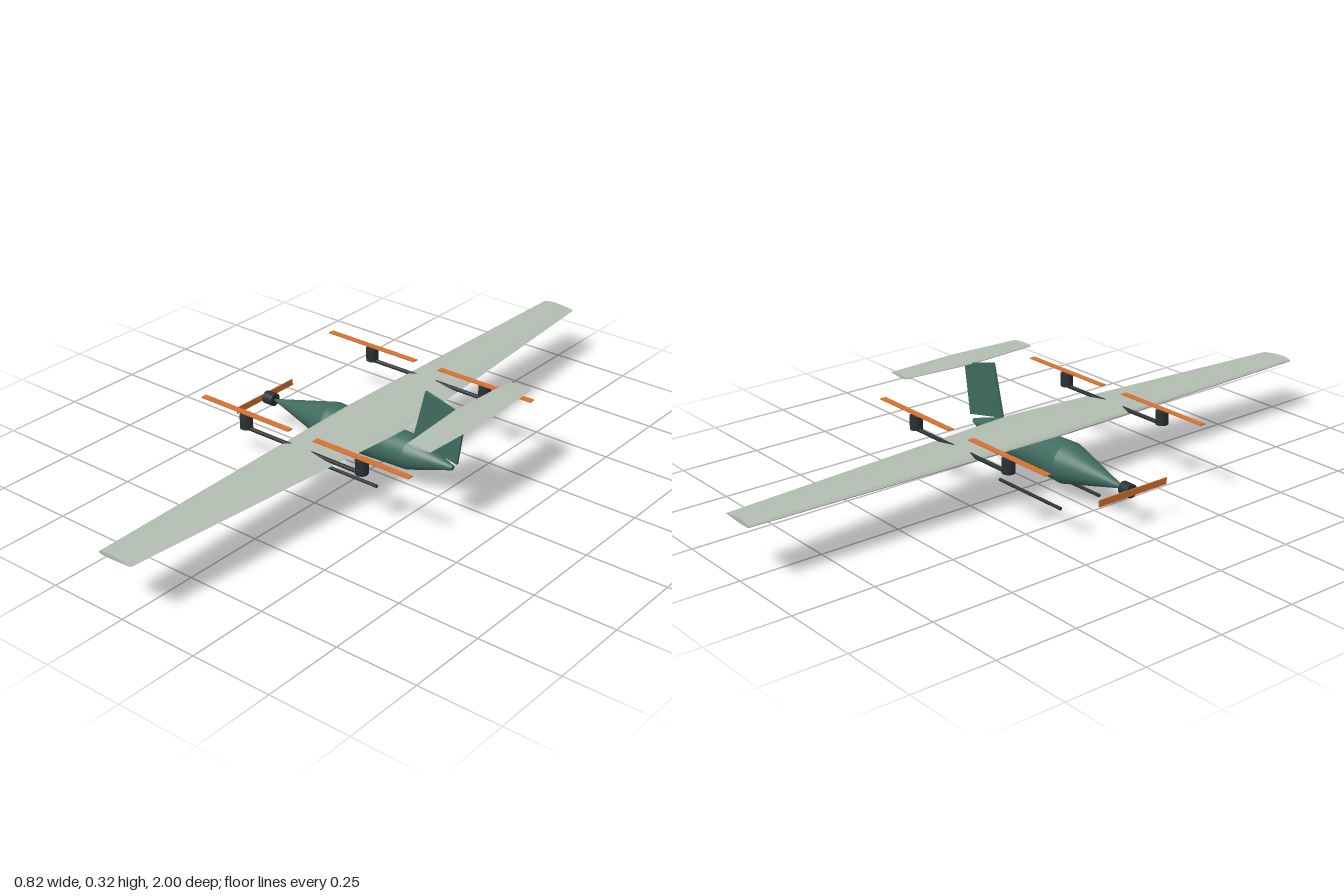
import * as THREE from 'three';
import { toCreasedNormals } from 'three/addons/utils/BufferGeometryUtils.js';

const paint = (color) => new THREE.MeshStandardMaterial({ color });

// Closed airfoil loop in unit chord: trailing edge, over the top, back underneath
function airfoil(thickness, camber, n = 12) {
  const upper = [], lower = [];
  for (let i = 0; i <= n; i++) {
    const x = (1 + Math.cos((Math.PI * i) / n)) / 2;
    const t = 5 * thickness * (0.2969 * Math.sqrt(x) - 0.126 * x - 0.3516 * x ** 2 + 0.2843 * x ** 3 - 0.1036 * x ** 4);
    const p = 0.4;
    const c = x < p ? (camber / p ** 2) * (2 * p * x - x * x)
      : (camber / (1 - p) ** 2) * (1 - 2 * p + 2 * p * x - x * x);
    upper.push([x, c + t]);
    if (i > 0 && i < n) lower.unshift([x, c - t]);
  }
  return [...upper, ...lower];
}

// Loft of an airfoil through stations [z, leading x, trailing x], z ascending
function loftWing(section, stations) {
  const pos = [], index = [], n = section.length;
  for (const [z, x0, x1] of stations)
    for (const [u, v] of section) pos.push(x0 + u * (x1 - x0), v * (x1 - x0), z);
  for (let s = 0; s < stations.length - 1; s++)
    for (let j = 0; j < n; j++) {
      const a = s * n + j, b = s * n + ((j + 1) % n);
      index.push(a, b, a + n, b, b + n, a + n);
    }
  const last = (stations.length - 1) * n;
  for (let j = 1; j < n - 1; j++) {
    index.push(0, j + 1, j);
    index.push(last, last + j, last + j + 1);
  }
  const g = new THREE.BufferGeometry();
  g.setAttribute('position', new THREE.Float32BufferAttribute(pos, 3));
  g.setIndex(index);
  return toCreasedNormals(g, 0.7);
}

// Cylinder lying along x
const rodX = (r, length, sides = 16) =>
  new THREE.CylinderGeometry(r, r, length, sides).rotateZ(Math.PI / 2);

export function createModel() {
  const model = new THREE.Group();
  const green = paint(0x3f6b5f), pale = paint(0xb3beb2), dark = paint(0x2a3033), orange = paint(0xd6722f);

  const add = (name, geometry, material, x = 0, y = 0, z = 0) => {
    const mesh = new THREE.Mesh(geometry, material);
    mesh.name = name;
    mesh.position.set(x, y, z);
    model.add(mesh);
    return mesh;
  };

  // Fuselage: nose cone, tapered middle, tail cone, nose towards -x
  const profile = [[0, -0.37], [0.003, -0.37], [0.0625, -0.14], [0.052, 0.155], [0.007, 0.3], [0, 0.3]]
    .map(([r, x]) => new THREE.Vector2(r, x));
  const hull = new THREE.LatheGeometry(profile, 32).rotateZ(-Math.PI / 2);
  add('fuselage', toCreasedNormals(hull, 0.21), green, 0, 0.11, 0);

  // Nose motor and its propeller
  add('noseMotor', rodX(0.02, 0.035, 20), dark, -0.387, 0.11, 0);
  add('nosePropeller', new THREE.BoxGeometry(0.003, 0.02, 0.25), orange, -0.41, 0.11, 0);

  // Main wing and tailplane
  add('wing', loftWing(airfoil(0.12, 0.02), [[-1, -0.067, 0.048], [0, -0.09, 0.13], [1, -0.067, 0.048]]),
    pale, 0, 0.176, 0);
  add('tailplane', loftWing(airfoil(0.11, 0), [[-0.235, 0.316, 0.394], [0, 0.3, 0.407], [0.235, 0.316, 0.394]]),
    pale, 0, 0.292, 0);

  // Swept tail fin
  const fin = new THREE.Shape([[0.16, 0.16], [0.315, 0.127], [0.339, 0.284], [0.201, 0.321]]
    .map(([x, y]) => new THREE.Vector2(x, y)));
  add('tailFin', new THREE.ExtrudeGeometry(fin, { depth: 0.008, bevelEnabled: false }), green, 0, 0, -0.004);

  for (const side of [1, -1]) {
    const label = side > 0 ? 'left' : 'right';
    const z = side * 0.285;
    // Lift boom with a motor and rotor at each end
    add(label + 'Boom', rodX(0.006, 0.42), dark, -0.01, 0.183, z);
    for (const [end, x] of [['Front', -0.221], ['Rear', 0.202]]) {
      add(label + end + 'LiftMotor', new THREE.CylinderGeometry(0.019, 0.019, 0.042, 20), dark, x, 0.204, z);
      add(label + end + 'Rotor', new THREE.BoxGeometry(0.332, 0.003, 0.02), orange, x, 0.2295, z);
    }
    // Landing skid
    add(label + 'Skid', rodX(0.005, 0.276, 12), dark, -0.053, 0.005, side * 0.073);
  }
  return model;
}
